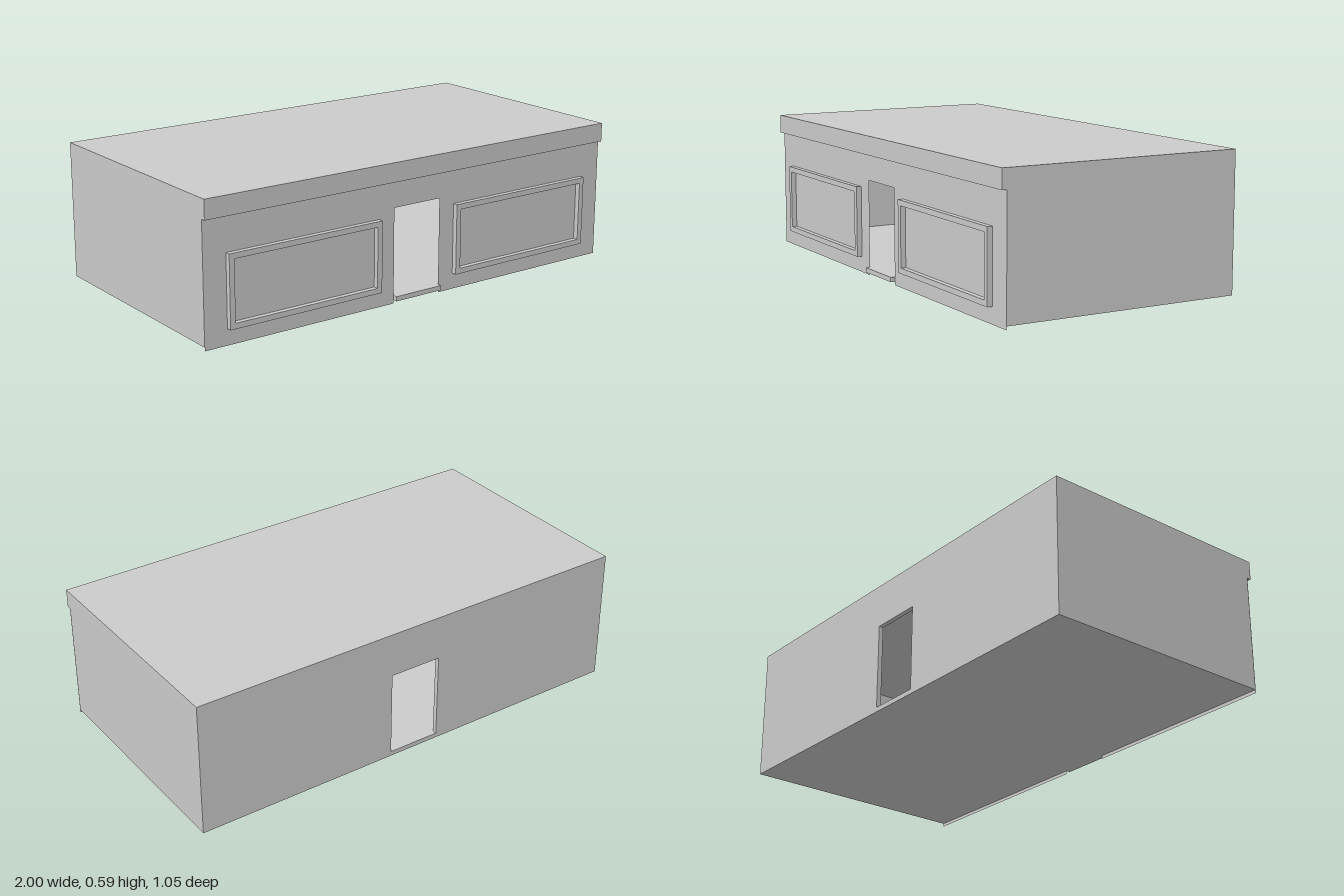
import * as THREE from 'three';

const grey = new THREE.MeshStandardMaterial({ color: 0xcccccc });
const thin = new THREE.MeshStandardMaterial({ color: 0xcccccc, side: THREE.DoubleSide });

// Rectangle outline, used for both shapes and holes
function rect(Type, x0, x1, y0, y1) {
  const p = new Type();
  p.moveTo(x0, y0).lineTo(x1, y0).lineTo(x1, y1).lineTo(x0, y1).closePath();
  return p;
}

export function createModel() {
  const model = new THREE.Group();
  model.name = 'shopBuilding';

  const add = (name, geometry, material = grey) => {
    const mesh = new THREE.Mesh(geometry, material);
    mesh.name = name;
    model.add(mesh);
    return mesh;
  };
  // Box given by its limits on each axis
  const slab = (name, x0, x1, y0, y1, z0, z1) =>
    add(name, new THREE.BoxGeometry(x1 - x0, y1 - y0, z1 - z0))
      .position.set((x0 + x1) / 2, (y0 + y1) / 2, (z0 + z1) / 2);

  const floorY = 0.014, stepY = 0.034, topY = 0.59, wall = 0.02;
  const back = -0.523, front = 0.5, doorX = 0.115, doorTop = 0.4;

  // Floor, roof and side walls
  slab('floor', -1 + wall, 1 - wall, floorY, stepY, back + wall, front);
  slab('roof', -1, 1, topY - wall, topY, back, front);
  for (const [name, x] of [['leftWall', 1 - wall], ['rightWall', -1]]) {
    slab(name, x, x + wall, floorY, topY - wall, back, front);
  }

  // Back wall with a doorway
  const backShape = rect(THREE.Shape, -1 + wall, 1 - wall, floorY, topY - wall);
  backShape.holes.push(rect(THREE.Path, -doorX, doorX, stepY, doorTop));
  add('backWall', new THREE.ExtrudeGeometry(backShape, { depth: wall, bevelEnabled: false }))
    .position.z = back;

  // Thin front wall with a doorway open to the ground
  const frontShape = new THREE.Shape();
  frontShape.moveTo(-1, 0).lineTo(-doorX, 0).lineTo(-doorX, doorTop).lineTo(doorX, doorTop)
    .lineTo(doorX, 0).lineTo(1, 0).lineTo(1, topY).lineTo(-1, topY).closePath();
  add('frontWall', new THREE.ShapeGeometry(frontShape), thin).position.z = front + 0.001;

  // Fascia above the shopfront and step at the door
  slab('fascia', -1, 1, 0.51, topY, front, 0.52);
  slab('doorStep', -doorX, doorX, floorY, stepY, front, 0.52);

  // Raised window frames, one each side of the door
  const frame = rect(THREE.Shape, -0.355, 0.355, 0.067, 0.365);
  frame.holes.push(rect(THREE.Path, -0.332, 0.332, 0.09, 0.342));
  const frameGeometry = new THREE.ExtrudeGeometry(frame, { depth: 0.023, bevelEnabled: false });
  for (const [name, x] of [['leftWindowFrame', 0.545], ['rightWindowFrame', -0.545]]) {
    add(name, frameGeometry).position.set(x, 0, front);
  }

  return model;
}
